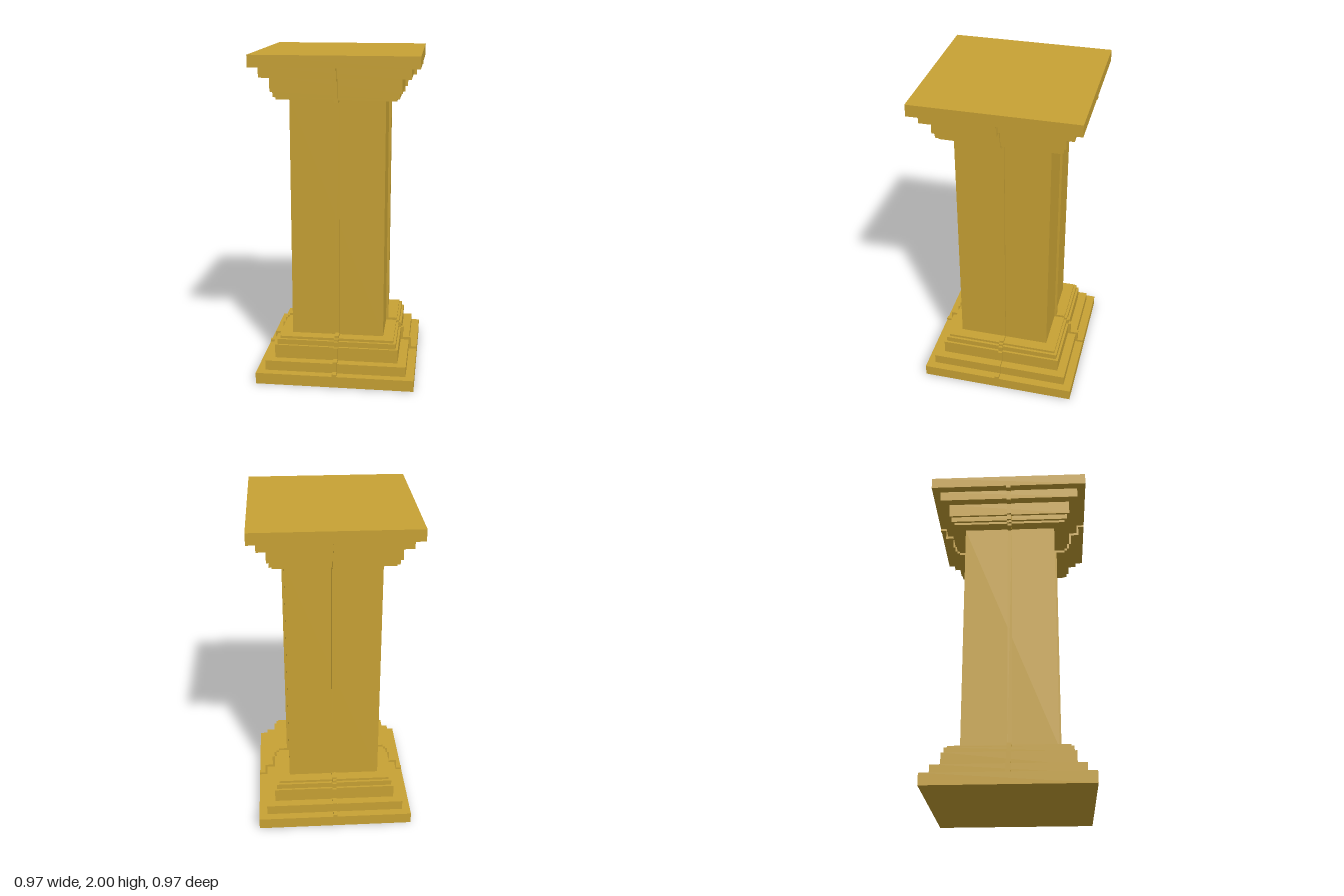
import * as THREE from 'three';

// Half-profiles of the lower half: [half width, height], mirrored about y = 1
const BODY = [
  [0.484, 0], [0.484, 0.07], [0.433, 0.07], [0.433, 0.132], [0.38, 0.132], [0.38, 0.217],
  [0.366, 0.217], [0.366, 0.25], [0.35, 0.25], [0.35, 0.265], [0.283, 0.265],
];
const RIB = [
  [0.484, 0.07], [0.484, 0.085], [0.447, 0.085], [0.447, 0.148], [0.395, 0.148], [0.395, 0.217],
  [0.38, 0.217], [0.38, 0.25], [0.366, 0.25], [0.366, 0.265], [0.35, 0.265], [0.35, 0.28], [0.297, 0.28],
];
const RIB_WIDTH = 0.026;

const mirrorUp = (pts) => [...pts, ...pts.slice().reverse().map(([w, y]) => [w, 2 - y])];

export function createModel() {
  const model = new THREE.Group();
  model.name = 'pillar';
  const gold = new THREE.MeshStandardMaterial({ color: 0xc8a234 });
  gold.name = 'ochre gold';

  // Square stepped pillar: four-sided lathe with flat faces
  const outline = [[0, 0], ...mirrorUp(BODY), [0, 2]]
    .map(([w, y]) => new THREE.Vector2(w * Math.SQRT2, y));
  const bodyGeometry = new THREE.LatheGeometry(outline, 4, Math.PI / 4).toNonIndexed();
  bodyGeometry.computeVertexNormals();
  const body = new THREE.Mesh(bodyGeometry, gold);
  body.name = 'steppedPillar';
  model.add(body);

  // Thin raised ribs down the middle of all four sides, as two crossed plates
  const right = mirrorUp(RIB);
  const left = right.slice().reverse().map(([w, y]) => [-w, y]);
  const ribShape = new THREE.Shape([...right, ...left].map(([x, y]) => new THREE.Vector2(x, y)));
  const ribGeometry = new THREE.ExtrudeGeometry(ribShape, { depth: RIB_WIDTH, bevelEnabled: false });
  ribGeometry.translate(0, 0, -RIB_WIDTH / 2);
  ['sideRibs', 'frontBackRibs'].forEach((name, i) => {
    const rib = new THREE.Mesh(ribGeometry, gold);
    rib.name = name;
    rib.rotation.y = i * Math.PI / 2;
    model.add(rib);
  });

  return model;
}
